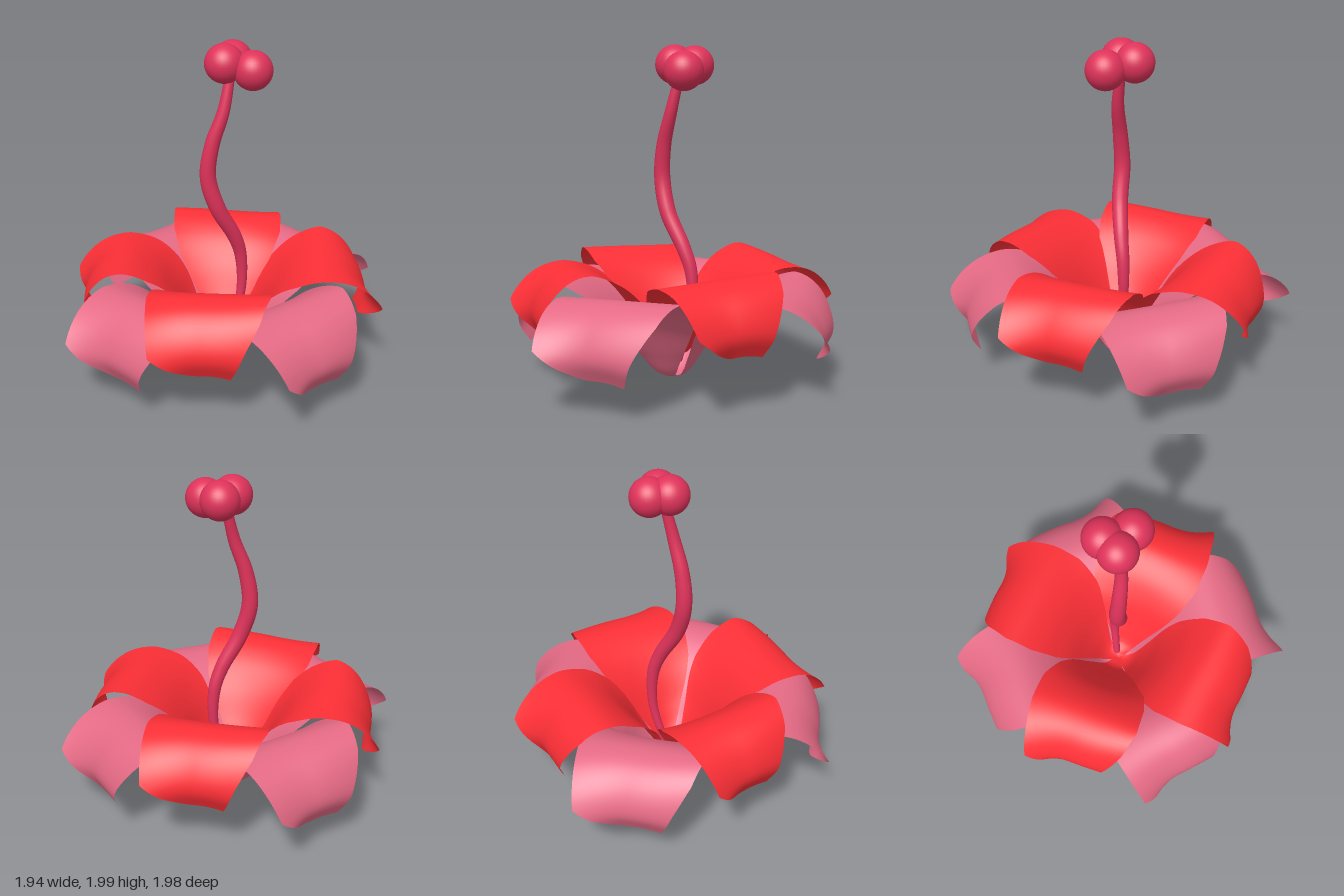
import * as THREE from 'three';

const { lerp, smoothstep, degToRad } = THREE.MathUtils;

// Centre line of a petal as (height, reach): cup, crest, then curled tip
const profile = new THREE.CatmullRomCurve3([
  [0, 0], [0.02, 0.08], [0.16, 0.18], [0.37, 0.31], [0.52, 0.45],
  [0.595, 0.61], [0.57, 0.76], [0.47, 0.87], [0.33, 0.92], [0.21, 0.87],
].map(([y, z]) => new THREE.Vector3(0, y, z)));

// Half widths from base to tip on each side of the centre line
const leftWidths = [0.02, 0.11, 0.21, 0.305, 0.36, 0.36, 0.325, 0.285, 0.2];
const rightWidths = [0.02, 0.11, 0.21, 0.31, 0.37, 0.385, 0.34, 0.255, 0.18];

function sample(list, t) {
  const f = t * (list.length - 1);
  const i = Math.min(Math.floor(f), list.length - 2);
  return lerp(list[i], list[i + 1], f - i);
}

function petalGeometry() {
  const geo = new THREE.PlaneGeometry(2, 1, 28, 48);
  const pos = geo.attributes.position;
  for (let i = 0; i < pos.count; i++) {
    const s = -pos.getX(i);
    const left = Math.min(s, 0) ** 2;
    const right = Math.max(s, 0) ** 2;
    // The left corner is rounded off, so its rows end earlier
    const t = Math.min(Math.max((pos.getY(i) + 0.5) * (1 - 0.13 * left), 0), 1);
    const p = profile.getPointAt(t);
    const d = profile.getTangentAt(t);
    const w = sample(s < 0 ? leftWidths : rightWidths, t);
    // Cupped throat, tilted crest, left corner flung out, right corner drooping
    const cup = 0.18 * w * s * s * (1 - smoothstep(t, 0.25, 0.6));
    const outer = smoothstep(t, 0.5, 1);
    pos.setXYZ(i, s * w,
      p.y + d.z * cup + 0.02 * s * smoothstep(t, 0.35, 0.65) - 0.04 * right * smoothstep(t, 0.6, 0.85),
      p.z - d.y * cup + outer * (0.11 * left - 0.015 * right));
  }
  geo.computeVertexNormals();
  return geo;
}

// Tapered, bent stalk
function styleGeometry() {
  const path = new THREE.CatmullRomCurve3([
    [0.01, 0.1, -0.04], [0.04, 0.4, -0.13], [0.04, 0.66, -0.125], [0.03, 0.8, -0.075],
    [-0.01, 1.0, 0.03], [-0.045, 1.2, 0.075], [-0.025, 1.4, 0.06],
    [0.015, 1.6, 0.005], [0.02, 1.82, -0.05],
  ].map((p) => new THREE.Vector3(...p)));
  const rows = 64, sides = 20;
  const geo = new THREE.TubeGeometry(path, rows, 1, sides);
  const pos = geo.attributes.position;
  const v = new THREE.Vector3();
  for (let i = 0; i < pos.count; i++) {
    const t = Math.floor(i / (sides + 1)) / rows;
    const c = path.getPointAt(t);
    const radius = 0.023 + 0.026 * Math.sin(Math.PI * t * 0.85) ** 2;
    v.fromBufferAttribute(pos, i).sub(c).multiplyScalar(radius).add(c);
    pos.setXYZ(i, v.x, v.y, v.z);
  }
  return geo;
}

export function createModel() {
  const flower = new THREE.Group();
  flower.name = 'flower';
  const material = (color, side = THREE.FrontSide) => new THREE.MeshStandardMaterial({ color, side });
  const petal = petalGeometry();

  // Two whorls of four petals, each [angle, spread] a little uneven
  const whorl = (name, color, petals, height, lift) => {
    const group = new THREE.Group();
    group.name = name + 's';
    const mat = material(color, THREE.DoubleSide);
    for (const [angle, spread] of petals) {
      const mesh = new THREE.Mesh(petal, mat);
      mesh.name = name;
      mesh.rotation.y = degToRad(angle);
      mesh.scale.set(spread, height, spread);
      mesh.position.y = lift;
      group.add(mesh);
    }
    flower.add(group);
  };
  whorl('outerPetal', 0xe56a85, [[-2, 1], [77, 1.03], [173.5, 1.03], [263, 1.01]], 1, 0);
  whorl('innerPetal', 0xfc2f36, [[33, 0.935], [129, 0.955], [217, 0.94], [311, 0.91]], 0.97, 0.125);

  // Stalk with three round heads
  const crimson = material(0xdf335a);
  const style = new THREE.Mesh(styleGeometry(), crimson);
  style.name = 'style';
  flower.add(style);
  const ball = new THREE.SphereGeometry(0.115, 32, 20);
  for (const p of [[0.003, 1.875, -0.015], [-0.03, 1.87, -0.125], [0.14, 1.84, -0.105]]) {
    const head = new THREE.Mesh(ball, crimson);
    head.name = 'stigma';
    head.position.set(...p);
    flower.add(head);
  }
  return flower;
}
